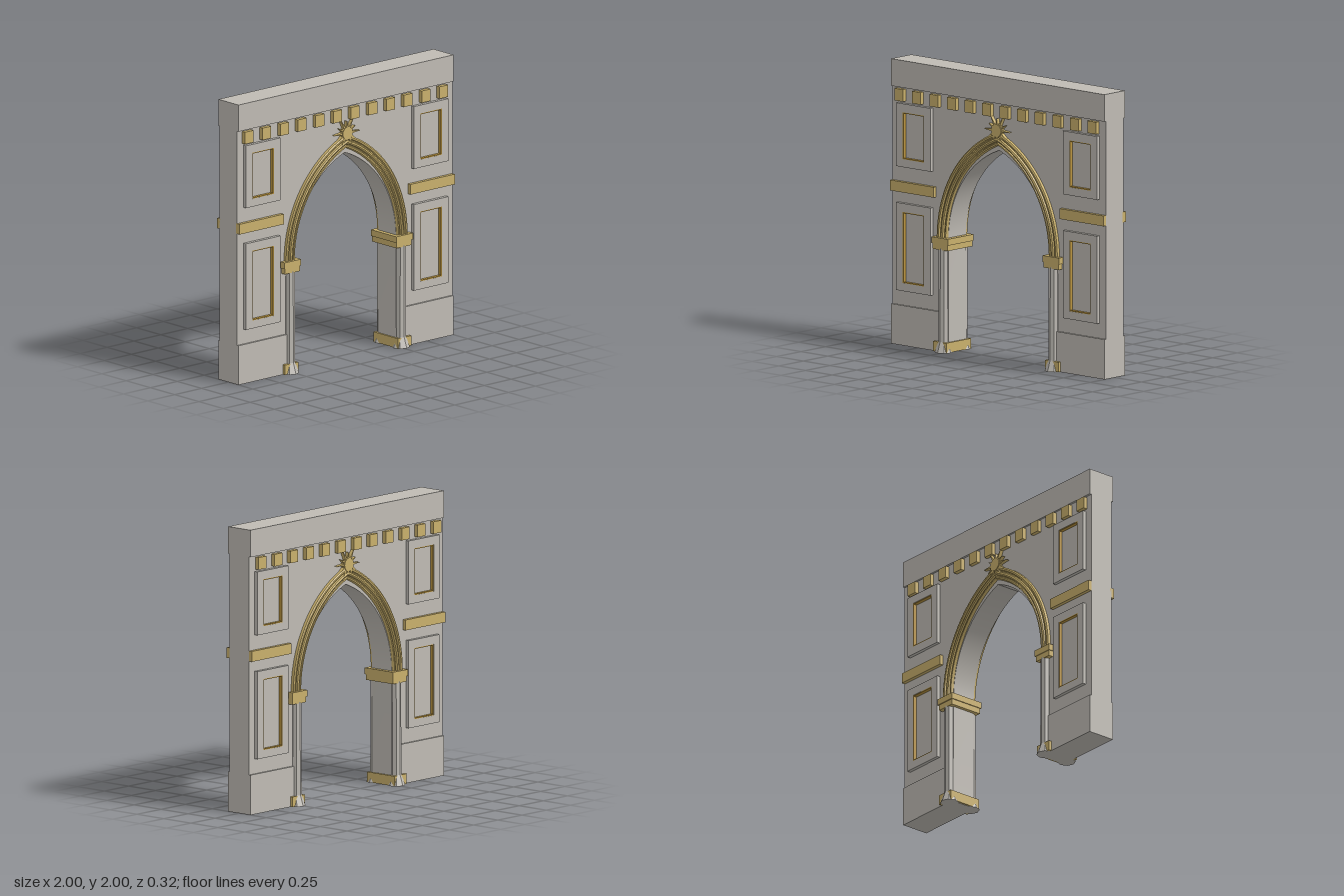
import * as THREE from 'three';
import { toCreasedNormals } from 'three/addons/utils/BufferGeometryUtils.js';
import { ParametricGeometry } from 'three/addons/geometries/ParametricGeometry.js';

const SPRING = 0.8, WALL = 0.09, PLINTH = 0.104;

export function createModel() {
  const stone = new THREE.MeshStandardMaterial({ color: 0xbfbbb4 });
  stone.name = 'stone';
  const gold = new THREE.MeshStandardMaterial({ color: 0xc9b06c });
  gold.name = 'gold';
  const darkGold = new THREE.MeshStandardMaterial({ color: 0xb8933f });
  darkGold.name = 'darkGold';

  const model = new THREE.Group();
  model.name = 'archway';

  const add = (parent, name, geometry, material) => {
    const mesh = new THREE.Mesh(geometry, material);
    mesh.name = name;
    parent.add(mesh);
    return mesh;
  };
  // Box given by its limits on each axis
  const box = (parent, name, material, x0, x1, y0, y1, z0, z1) => {
    const mesh = add(parent, name, new THREE.BoxGeometry(x1 - x0, y1 - y0, z1 - z0), material);
    mesh.position.set((x0 + x1) / 2, (y0 + y1) / 2, (z0 + z1) / 2);
    return mesh;
  };
  const extrude = (shape, z0, z1) =>
    new THREE.ExtrudeGeometry(shape, { depth: z1 - z0, bevelEnabled: false }).translate(0, 0, z0);
  const rectPoints = (x0, x1, y0, y1) =>
    [[x0, y0], [x1, y0], [x1, y1], [x0, y1]].map(([x, y]) => new THREE.Vector2(x, y));
  const frame = (x0, x1, y0, y1, hole, z0, z1) => {
    const shape = new THREE.Shape(rectPoints(x0, x1, y0, y1));
    shape.holes.push(new THREE.Path(rectPoints(...hole)));
    return extrude(shape, z0, z1);
  };

  // Wall with the pointed opening
  const centre = 0.249, radius = 0.724, jamb = radius - centre;
  const apexAngle = Math.acos(centre / radius);
  const outline = [[-1, 0], [-jamb, 0]];
  const steps = 24;
  const arc = i => {
    const t = apexAngle * i / steps;
    return [radius * Math.cos(t) - centre, SPRING + radius * Math.sin(t)];
  };
  for (let i = 0; i <= steps; i++) { const [x, y] = arc(i); outline.push([-x, y]); }
  for (let i = steps - 1; i >= 0; i--) outline.push(arc(i));
  outline.push([jamb, 0], [1, 0], [1, 1.9], [-1, 1.9]);
  const wallShape = new THREE.Shape(outline.map(([x, y]) => new THREE.Vector2(x, y)));
  add(model, 'wall', toCreasedNormals(extrude(wallShape, -WALL, WALL), 0.4), stone);

  box(model, 'cornice', stone, -1, 1, 1.81, 2, -PLINTH, PLINTH);

  // Row of blocks below the cornice, running through the wall
  for (let i = 0; i < 12; i++) {
    const x = -0.915 + i * 0.1644;
    box(model, 'dentil', gold, x - 0.04, x + 0.04, 1.715, 1.8, -0.12, 0.12);
  }

  // Plinths, and the capitals and bases that wrap each jamb
  for (const s of [-1, 1]) {
    const pier = (name, material, a, b, y0, y1, z) =>
      box(model, name, material, Math.min(s * a, s * b), Math.max(s * a, s * b), y0, y1, -z, z);
    pier('plinth', stone, 0.55, 1, 0, 0.28, PLINTH);
    pier('capitalTop', gold, 0.443, 0.597, 0.76, 0.805, 0.132);
    pier('capitalNeck', gold, 0.45, 0.59, 0.72, 0.76, 0.126);
    pier('pierBase', gold, 0.462, 0.588, 0.002, 0.072, 0.126);
  }

  // Moulding section as (radius, z), swept along both halves of the pointed arch
  const section = [
    [0.863, 0.085], [0.863, 0.112], [0.853, 0.118], [0.842, 0.117], [0.837, 0.103],
    [0.83, 0.103], [0.825, 0.115], [0.814, 0.12], [0.805, 0.115], [0.801, 0.101],
    [0.795, 0.101], [0.791, 0.11], [0.781, 0.11], [0.773, 0.085],
  ];
  const mouldingHalf = s => {
    const offset = 0.298;
    const geometry = new ParametricGeometry((u, v, target) => {
      const index = Math.min(section.length - 1, Math.max(0, Math.round(v * (section.length - 1))));
      const [r, z] = section[index];
      const t = (s > 0 ? u : 1 - u) * Math.acos(offset / r);
      target.set(s * (r * Math.cos(t) - offset), SPRING + r * Math.sin(t), z);
    }, 28, section.length - 1);
    return toCreasedNormals(geometry, 0.5);
  };

  // Sunburst outline: twelve pointed rays around a disc
  const sun = [];
  for (let k = 0; k < 12; k++) {
    const a = k * Math.PI / 6;
    const point = (r, angle) => sun.push(new THREE.Vector2(r * Math.cos(angle), r * Math.sin(angle)));
    point(0.048, a - 0.16);
    point(k % 2 ? 0.085 : 0.12, a);
    point(0.048, a + 0.16);
  }

  // Half-embedded faceted column with a flared foot
  const columnProfile = [[0.064, 0], [0.06, 0.012], [0.045, 0.055], [0.038, 0.075], [0.035, 0.73]]
    .map(([r, y]) => new THREE.Vector2(r, y));
  const columnGeometry = toCreasedNormals(new THREE.LatheGeometry(columnProfile, 8), 0.1);
  const footGeometry = new THREE.CircleGeometry(0.064, 8).rotateX(Math.PI / 2);

  // Everything applied to one face, repeated on the other by a half turn
  for (const side of ['front', 'back']) {
    const face = new THREE.Group();
    face.name = side + 'Face';
    face.rotation.y = side === 'front' ? 0 : Math.PI;
    model.add(face);

    for (const s of [-1, 1]) {
      add(face, 'archMoulding', mouldingHalf(s), gold);

      const column = new THREE.Group();
      column.name = 'column';
      column.position.set(s * 0.515, 0, 0.094);
      add(column, 'shaft', columnGeometry, stone);
      add(column, 'footUnderside', footGeometry, stone);
      face.add(column);

      const mid = s * 0.795;
      box(face, 'band', gold, mid - 0.205, mid + 0.205, 1.077, 1.15, 0.08, 0.116);

      // Raised panels with gold-lined recesses
      const px = s * 0.781;
      for (const [y0, y1] of [[0.385, 1.0], [1.255, 1.7]]) {
        const hole = [px - 0.1, px + 0.1, y0 + 0.056, y1 - 0.06];
        const inner = [hole[0] + 0.007, hole[1] - 0.007, hole[2] + 0.007, hole[3] - 0.007];
        add(face, 'panelFrame', frame(px - 0.16, px + 0.16, y0, y1, hole, 0.08, 0.116), stone);
        add(face, 'panelLining', frame(...hole, inner, 0.08, 0.115), darkGold);
      }
    }

    const sunburst = new THREE.Group();
    sunburst.name = 'sunburst';
    sunburst.position.y = 1.622;
    add(sunburst, 'rays', extrude(new THREE.Shape(sun), 0.08, 0.117), gold);
    const disc = add(sunburst, 'disc', new THREE.CylinderGeometry(0.046, 0.046, 0.042, 16), gold);
    disc.rotation.x = Math.PI / 2;
    disc.position.z = 0.101;
    face.add(sunburst);
  }

  return model;
}
